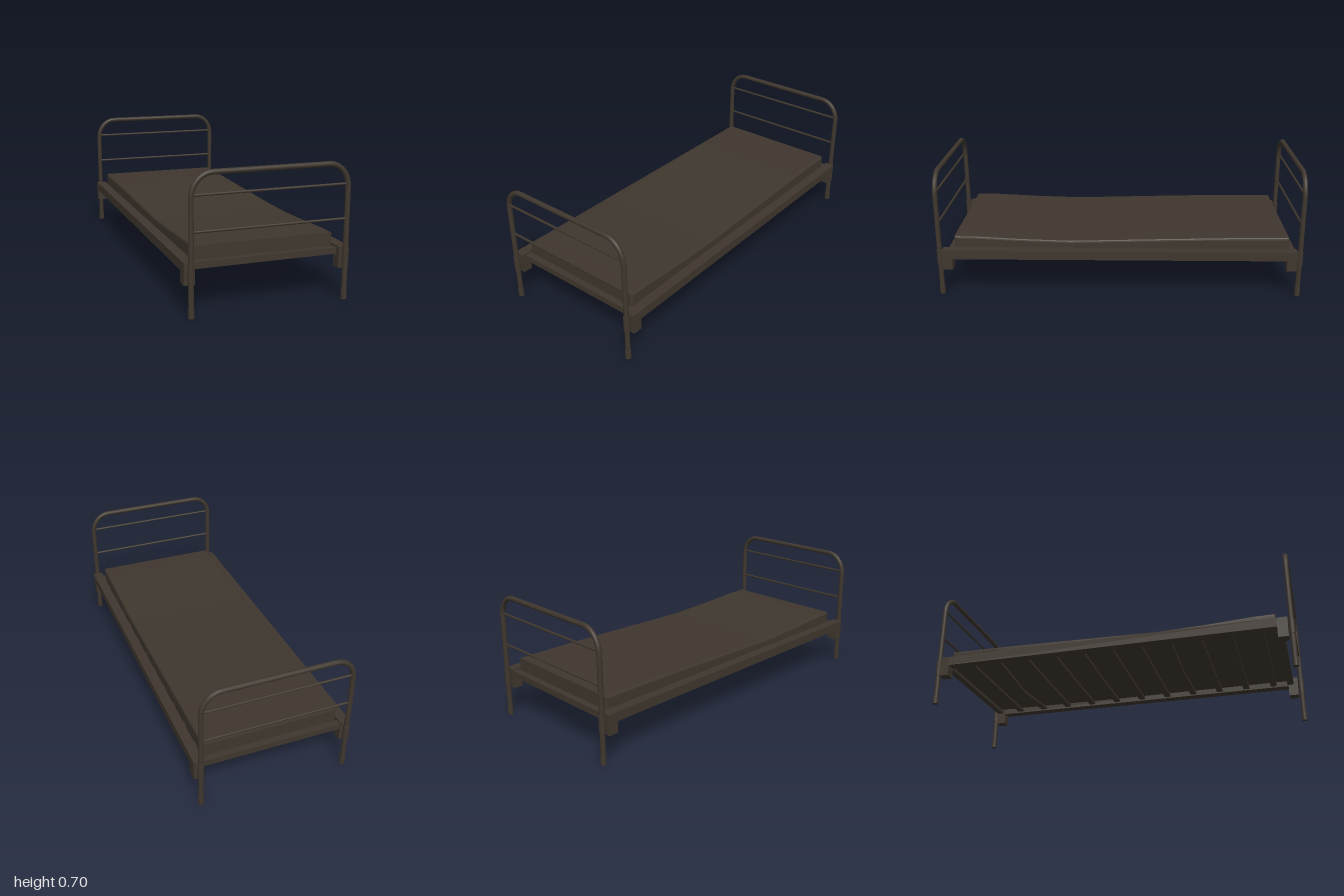
import * as THREE from 'three';

export function createModel() {
  const bed = new THREE.Group();
  bed.name = 'bed';
  const darkBrown = new THREE.MeshStandardMaterial({ color: 0x3f372e });
  darkBrown.name = 'darkBrown';

  const add = (name, geometry, x = 0, y = 0, z = 0, parent = bed) => {
    const mesh = new THREE.Mesh(geometry, darkBrown);
    mesh.name = name;
    mesh.position.set(x, y, z);
    parent.add(mesh);
    return mesh;
  };
  const box = (name, w, h, d, x, y, z) => add(name, new THREE.BoxGeometry(w, h, d), x, y, z);

  // Arched tube: up one leg, round the corner, across, and down the other leg
  const half = [];
  for (const y of [0.02, 0.15, 0.3, 0.45, 0.53]) half.push([0.4, y]);
  for (let i = 0; i <= 8; i++) {
    const a = (i / 8) * Math.PI / 2;
    half.push([0.295 + 0.105 * Math.cos(a), 0.57 + 0.117 * Math.sin(a)]);
  }
  half.push([0.24, 0.687], [0.08, 0.687]);
  const path = [
    ...half.map(([x, y]) => new THREE.Vector3(x, y, 0)),
    ...half.slice().reverse().map(([x, y]) => new THREE.Vector3(-x, y, 0)),
  ];
  const archGeometry = new THREE.TubeGeometry(new THREE.CatmullRomCurve3(path), 110, 0.0135, 12);
  const barGeometry = new THREE.CylinderGeometry(0.0065, 0.0065, 0.8, 10).rotateZ(Math.PI / 2);
  const footGeometry = new THREE.CylinderGeometry(0.0155, 0.0155, 0.045, 14);
  const collarGeometry = new THREE.CylinderGeometry(0.0165, 0.0165, 0.082, 14);

  // Matching head and foot frames
  for (const [name, z] of [['footFrame', 0.983], ['headFrame', -0.983]]) {
    const frame = new THREE.Group();
    frame.name = name;
    frame.position.z = z;
    bed.add(frame);
    add('archTube', archGeometry, 0, 0, 0, frame);
    for (const y of [0.412, 0.585]) add('crossBar', barGeometry, 0, y, 0, frame);
    for (const x of [-0.4, 0.4]) {
      add('footCap', footGeometry, x, 0.0225, 0, frame);
      add('legCollar', collarGeometry, x, 0.218, 0, frame);
    }
  }

  // Side rails with a bracket block at each corner
  for (const s of [-1, 1]) {
    box('sideRail', 0.054, 0.05, 1.93, s * 0.402, 0.24, 0);
    for (const z of [-0.937, 0.937]) box('cornerBracket', 0.056, 0.11, 0.054, s * 0.402, 0.21, z);
  }
  box('endRail', 0.76, 0.033, 0.036, 0, 0.2385, 0.922);
  box('endRail', 0.76, 0.033, 0.036, 0, 0.2385, -0.943);

  // Slats bent down in the middle, two of them badly sagging
  const sag = [0.002, 0.035, 0.004, 0.003, 0.005, 0.003, 0.006, 0.026, 0.005, 0.003, 0.002];
  sag.forEach((drop, i) => {
    const geometry = new THREE.BoxGeometry(0.76, 0.013, 0.036, 2, 1, 1).toNonIndexed();
    const p = geometry.attributes.position;
    for (let k = 0; k < p.count; k++) {
      p.setY(k, p.getY(k) - drop * (1 - Math.abs(p.getX(k)) / 0.38));
    }
    geometry.computeVertexNormals();
    add('slat', geometry, 0, 0.229, -0.8 + i * 0.1622);
  });

  // Mattress: side profile with a dip, extruded across with softened edges
  const b = 0.012;
  const profile = [
    [-0.905 + b, 0.24 + b], [0.28, 0.237 + b], [0.925 - b, 0.24 + b],
    [0.925 - b, 0.325 - b], [0.6, 0.323 - b], [0.2, 0.314 - b],
    [-0.27, 0.302 - b], [-0.55, 0.311 - b], [-0.8, 0.324 - b], [-0.905 + b, 0.325 - b],
  ].map(([x, y]) => new THREE.Vector2(x, y));
  const mattress = new THREE.ExtrudeGeometry(new THREE.Shape(profile), {
    depth: 0.734 - 2 * b, bevelThickness: b, bevelSize: b, bevelSegments: 3,
  });
  mattress.translate(0, 0, -(0.734 - 2 * b) / 2).rotateY(Math.PI / 2);
  add('mattress', mattress);

  return bed;
}
